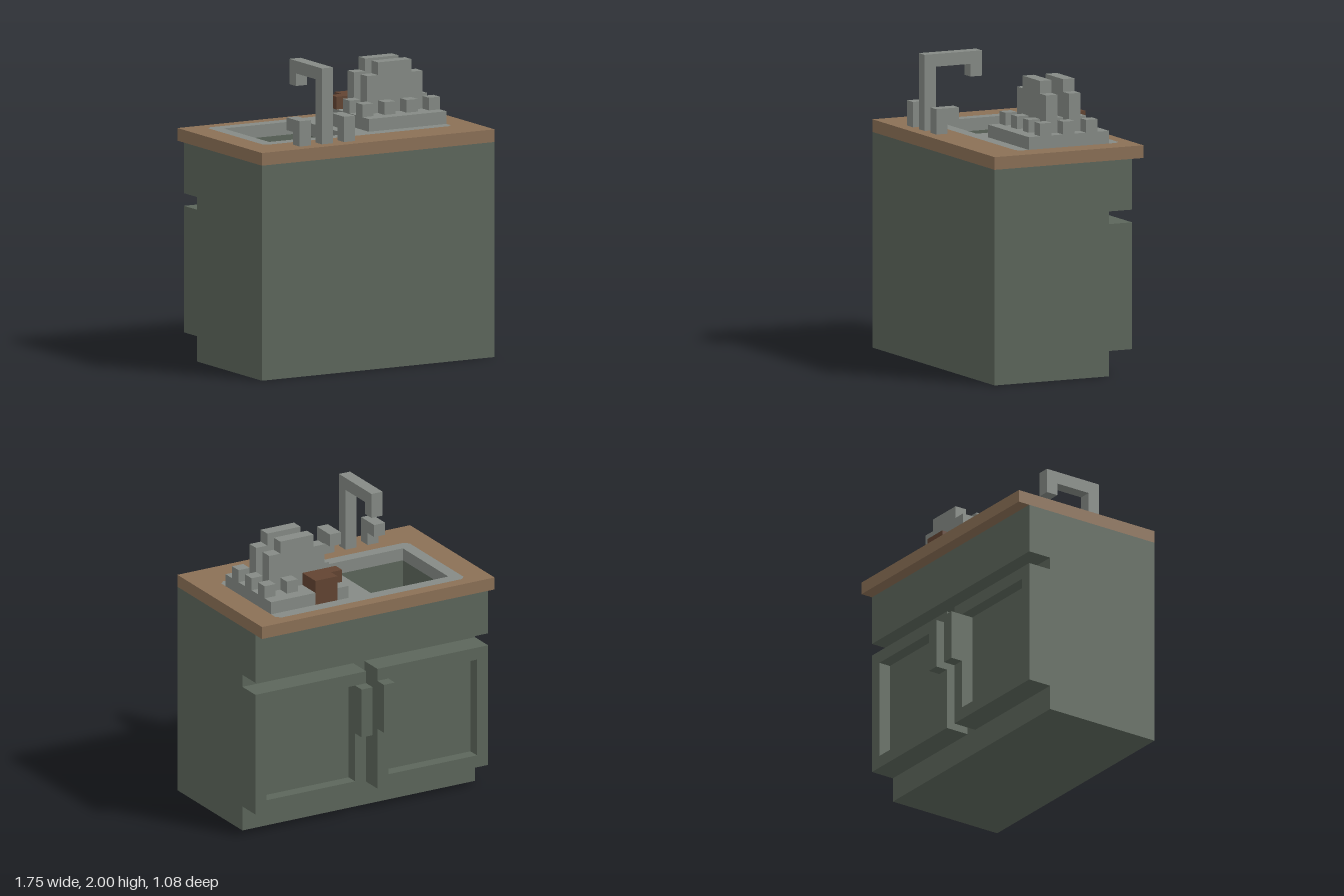
import * as THREE from 'three';

// Everything sits on a grid of cubes, 21 x 24 x 13; sizes below are in grid cells.
const U = 1 / 12;
const X = (i) => (i - 10.5) * U;
const Z = (k) => (k - 6.5) * U;

const paint = (name, color) => {
  const m = new THREE.MeshStandardMaterial({ color });
  m.name = name;
  return m;
};

// Rectangle outline with optional cut corners
function outline(Type, x0, y0, x1, y1, c = 0) {
  const p = c
    ? [[x0 + c, y0], [x1 - c, y0], [x1, y0 + c], [x1, y1 - c], [x1 - c, y1], [x0 + c, y1], [x0, y1 - c], [x0, y0 + c]]
    : [[x0, y0], [x1, y0], [x1, y1], [x0, y1]];
  return new Type(p.map(([x, y]) => new THREE.Vector2(x, y)));
}

export function createModel() {
  const model = new THREE.Group();
  model.name = 'kitchenSinkCabinet';
  const green = paint('cabinetGreen', 0x5c665b);
  const wood = paint('counterWood', 0x8b7056);
  const steel = paint('steelGray', 0x858a85);
  const brown = paint('dishBrown', 0x624432);

  const group = (name) => {
    const g = new THREE.Group();
    g.name = name;
    model.add(g);
    return g;
  };
  const add = (parent, name, geometry, material) => {
    const mesh = new THREE.Mesh(geometry, material);
    mesh.name = name;
    parent.add(mesh);
    return mesh;
  };
  // Box from cell corner to cell corner
  const box = (parent, name, mat, x0, x1, y0, y1, z0, z1) => {
    const mesh = add(parent, name, new THREE.BoxGeometry((x1 - x0) * U, (y1 - y0) * U, (z1 - z0) * U), mat);
    mesh.position.set((X(x0) + X(x1)) / 2, ((y0 + y1) / 2) * U, (Z(z0) + Z(z1)) / 2);
    return mesh;
  };
  // Horizontal slab with a hole; rectangles are [x0, x1, z0, z1, cornerCut]
  const slab = (parent, name, mat, rect, hole, y, height) => {
    const trace = (Type, [x0, x1, z0, z1, c]) => outline(Type, X(x0), -Z(z1), X(x1), -Z(z0), c);
    const shape = trace(THREE.Shape, rect);
    if (hole) shape.holes.push(trace(THREE.Path, hole));
    const geo = new THREE.ExtrudeGeometry(shape, { depth: height, bevelEnabled: false });
    geo.rotateX(-Math.PI / 2);
    add(parent, name, geo, mat).position.y = y;
  };

  const basin = [3, 10, 2, 9];
  const sinkEdge = [2, 19, 1, 10, 0.03];

  // Cabinet: carcass, drawer band and the hollow around the basin
  const cabinet = group('cabinet');
  box(cabinet, 'carcass', green, 0, 21, 0, 13, 3, 13);
  box(cabinet, 'basinFloor', green, 0, 21, 13, 14, 1, 13);
  slab(cabinet, 'basinWalls', green, [0, 21, 1, 13], basin, 14 * U, 3 * U);

  // Two framed doors with upright handles beside the middle gap
  for (const [x, handleX, side] of [[0, 9, 'right'], [11, 11, 'left']]) {
    const door = group(side + 'Door');
    const shape = outline(THREE.Shape, X(x), 2 * U, X(x + 10), 12 * U);
    shape.holes.push(outline(THREE.Path, X(x + 1), 3 * U, X(x + 9), 11 * U));
    const frame = new THREE.ExtrudeGeometry(shape, { depth: U, bevelEnabled: false });
    add(door, 'doorFrame', frame, green).position.z = Z(1);
    box(door, 'doorPanel', green, x, x + 10, 2, 12, 2, 3);
    box(door, 'doorHandle', green, handleX, handleX + 1, 7, 11, 0, 1);
  }

  // Worktop with the flush steel sink let into it
  slab(model, 'worktop', wood, [0, 21, 0, 13], sinkEdge, 17 * U, U);
  slab(model, 'sinkRim', steel, sinkEdge, basin, 17 * U, U);

  // Painted scraps on the basin floor, by column and row
  const scraps = group('basinScraps');
  const patch = (mat, cells) => {
    for (const [i, k] of cells) slab(scraps, 'scrap', mat, [i, i + 1, k, k + 1, 0.02], null, 14 * U, 0.003);
  };
  patch(brown, [[5, 3], [4, 4], [6, 4], [5, 5], [7, 5], [6, 6], [8, 6], [7, 7]]);
  patch(wood, [[6, 3], [8, 4], [4, 5], [5, 7]]);

  // Tap with two handles
  const tap = group('tap');
  box(tap, 'tapPost', steel, 6, 7, 18, 23, 11, 12);
  box(tap, 'tapArm', steel, 6, 7, 23, 24, 7, 12);
  box(tap, 'tapSpout', steel, 6, 7, 22, 23, 7, 8);
  for (const i of [4, 8]) {
    box(tap, 'tapHandlePost', steel, i, i + 1, 18, 20, 11, 12);
    box(tap, 'tapHandleLever', steel, i, i + 1, 19, 20, 10, 11);
  }

  // Dish rack: tray, pegs, two upright plates
  const rack = group('dishRack');
  box(rack, 'rackTray', steel, 12, 19, 18, 19, 3, 9);
  box(rack, 'rackTrayCorner', steel, 12, 13, 18, 19, 2, 3);
  box(rack, 'rackTrayEdge', steel, 15, 19, 18, 19, 2, 3);
  for (const k of [3, 5, 7]) {
    for (const i of [12, 14, 16, 18]) {
      if (k === 3 && i < 15) continue; // taken by the cup
      box(rack, 'rackPeg', steel, i, i + 1, 19, 20, k, k + 1);
    }
  }
  for (const k of [4, 6]) {
    box(rack, 'plate', steel, 13, 18, 19, 22, k, k + 1);
    box(rack, 'plateTop', steel, 14, 17, 22, 23, k, k + 1);
  }

  // Brown cup lying in the rack corner
  const cup = group('cup');
  box(cup, 'cupBody', brown, 13, 15, 18, 20, 2, 3);
  box(cup, 'cupBack', brown, 12, 15, 19, 20, 3, 4);

  return model;
}
